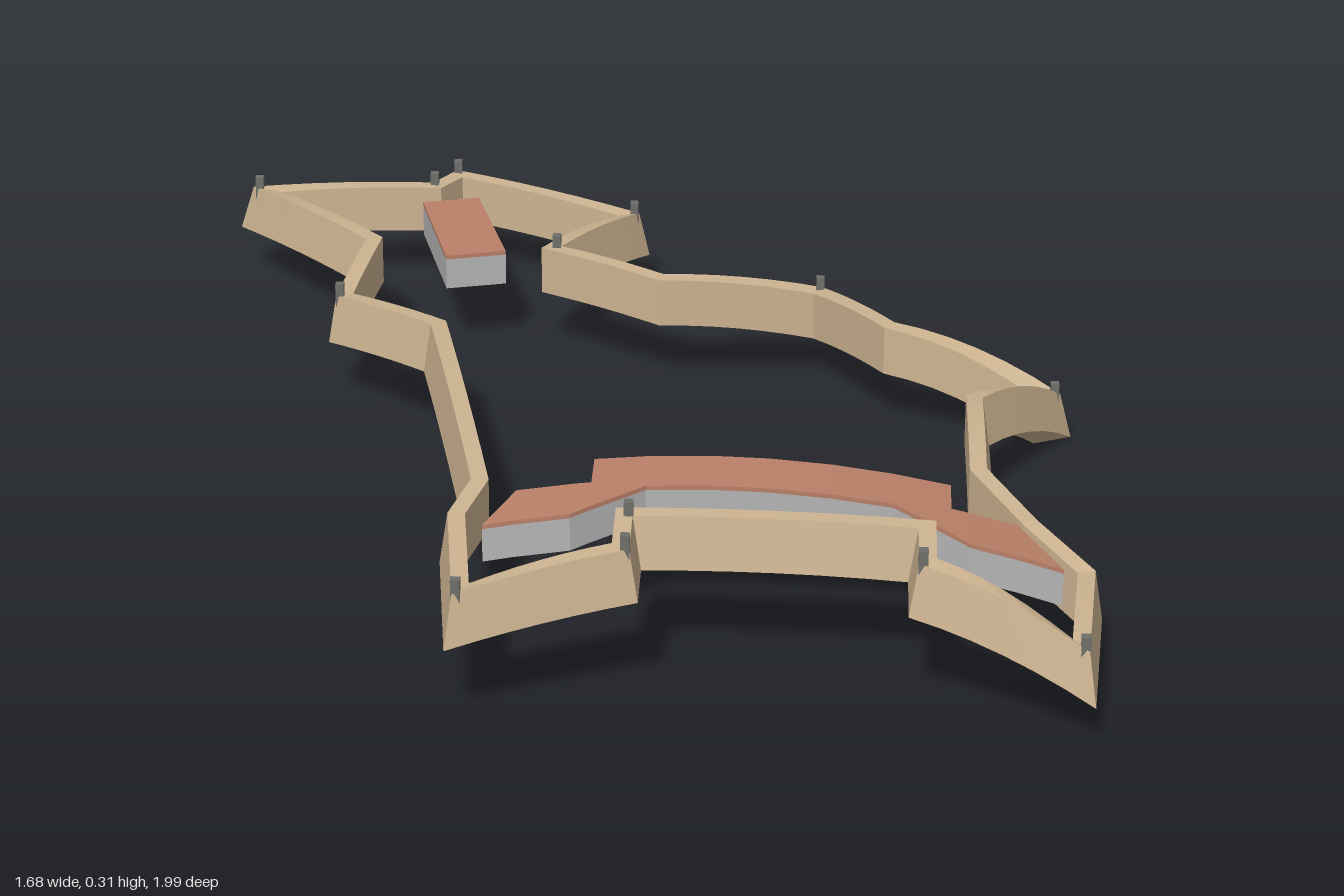
import * as THREE from 'three';

// Wall corners, clockwise from above: x, z, base height, bulge of the following run, sentry post (1 = yes)
const CORNERS = [
  [-0.84, -0.88, 0.10, 0.005, 1], [-0.455, -0.91, 0.105, 0, 1], [-0.41, -0.995, 0.10, 0.005, 1],
  [0.0, -0.825, 0.08, 0.008, 1], [-0.14, -0.545, 0.125, 0.003, 1], [0.05, -0.42, 0.13, 0.008, 0],
  [0.36, -0.475, 0.085, 0.005, 1], [0.5, -0.25, 0.115, 0.02, 0], [0.83, -0.19, 0, 0.02, 1],
  [0.665, 0.09, 0.115, 0.008, 0], [0.665, 0.39, 0.125, 0, 0], [0.745, 0.55, 0.11, 0, 0],
  [0.845, 0.67, 0.075, 0.003, 0], [0.82, 0.99, 0.08, 0.015, 1], [0.51, 0.885, 0.185, 0, 1],
  [0.51, 0.77, 0.19, 0.006, 0], [0.06, 0.76, 0.195, 0, 1], [0.06, 0.87, 0.192, 0.006, 1],
  [-0.255, 0.985, 0.155, 0, 1], [-0.29, 0.67, 0.155, 0, 0], [-0.26, 0.55, 0.16, 0.01, 0],
  [-0.39, -0.10, 0.15, 0.003, 0], [-0.59, -0.275, 0.125, 0.003, 1], [-0.56, -0.54, 0.13, 0.005, 0],
];
// Battered cross-section: inward offset, height
const SECTION = [[0, 0], [0.015, 0.095], [0.045, 0.095], [0.045, 0]];

const material = (name, color) => {
  const m = new THREE.MeshStandardMaterial({ color, side: THREE.DoubleSide });
  m.name = name;
  return m;
};

// Flat-shaded mesh from a list of quads
function quadMesh(name, quads, mat) {
  const pos = [];
  for (const [a, b, c, d] of quads) pos.push(...a, ...b, ...c, ...a, ...c, ...d);
  const geo = new THREE.BufferGeometry();
  geo.setAttribute('position', new THREE.Float32BufferAttribute(pos, 3));
  geo.computeVertexNormals();
  const mesh = new THREE.Mesh(geo, mat);
  mesh.name = name;
  return mesh;
}

// Mitred inward direction at corner i
function miter(i) {
  const n = CORNERS.length;
  const normal = (p, q) => {
    const dx = q[0] - p[0], dz = q[1] - p[1], l = Math.hypot(dx, dz);
    return [-dz / l, dx / l];
  };
  const a = normal(CORNERS[(i + n - 1) % n], CORNERS[i]);
  const b = normal(CORNERS[i], CORNERS[(i + 1) % n]);
  const k = 1 + a[0] * b[0] + a[1] * b[1];
  return [(a[0] + b[0]) / k, (a[1] + b[1]) / k];
}

// Rampart that rises and falls with the ground
function rampart(mat) {
  const quads = [], steps = 6, n = CORNERS.length;
  for (let i = 0; i < n; i++) {
    const p = CORNERS[i], q = CORNERS[(i + 1) % n], mp = miter(i), mq = miter((i + 1) % n);
    const ring = (t) => SECTION.map(([off, h]) => [
      THREE.MathUtils.lerp(p[0] + mp[0] * off, q[0] + mq[0] * off, t),
      THREE.MathUtils.lerp(p[2], q[2], t) + 4 * p[3] * t * (1 - t) + h,
      THREE.MathUtils.lerp(p[1] + mp[1] * off, q[1] + mq[1] * off, t),
    ]);
    for (let s = 0; s < steps; s++) {
      const r0 = ring(s / steps), r1 = ring((s + 1) / steps);
      for (let k = 0; k < 4; k++) {
        const l = (k + 1) % 4;
        quads.push([r0[k], r0[l], r1[l], r1[k]]);
      }
    }
  }
  return quadMesh('rampartWall', quads, mat);
}

// Open-bottomed building between a back rail and a front rail of [x, z] points
function building(name, back, front, top, height, wallMat, roofMat) {
  const g = new THREE.Group();
  g.name = name;
  const at = ([x, z], drop) => [x, top(x) - drop, z];
  const roof = [], eaves = [], walls = [];
  for (let i = 0; i < back.length - 1; i++) {
    roof.push([at(back[i], 0), at(front[i], 0), at(front[i + 1], 0), at(back[i + 1], 0)]);
  }
  const loop = [...front, ...back.slice().reverse()];
  loop.forEach((p, i) => {
    const q = loop[(i + 1) % loop.length];
    if (p[0] === q[0] && p[1] === q[1]) return;
    const band = (a, b) => [at(p, b), at(q, b), at(q, a), at(p, a)];
    eaves.push(band(0, 0.008));
    walls.push(band(0.008, height));
  });
  g.add(quadMesh('roof', [...roof, ...eaves], roofMat), quadMesh('buildingWalls', walls, wallMat));
  return g;
}

export function createModel() {
  const model = new THREE.Group();
  model.name = 'starFort';
  const stone = material('sandstone', 0xcdb491);
  const plaster = material('grey plaster', 0xb4b4b4);
  const tile = material('roof tile', 0xba8068);
  const iron = material('dark grey', 0x6e6e6a);

  model.add(rampart(stone));

  // Sentry posts on the salient corners
  const posts = new THREE.Group();
  posts.name = 'sentryPosts';
  CORNERS.forEach(([x, z, y, , on], i) => {
    if (!on) return;
    const m = miter(i);
    const post = new THREE.Mesh(new THREE.BoxGeometry(0.016, 0.045, 0.016), iron);
    post.name = 'sentryPost';
    post.position.set(x + m[0] * 0.022, y + 0.0975, z + m[1] * 0.022);
    posts.add(post);
  });
  model.add(posts);

  // Long barracks, arched along its length: x, back z, front z
  const sections = [
    [-0.215, 0.685, 0.685], [-0.165, 0.57, 0.685], [-0.065, 0.57, 0.685], [-0.035, 0.57, 0.663],
    [-0.035, 0.48, 0.663], [0.06, 0.48, 0.595], [0.17, 0.48, 0.595], [0.27, 0.48, 0.595],
    [0.38, 0.48, 0.595], [0.485, 0.48, 0.595], [0.585, 0.48, 0.664], [0.585, 0.57, 0.664],
    [0.615, 0.57, 0.685], [0.70, 0.57, 0.685], [0.775, 0.685, 0.685],
  ];
  model.add(building('longBarracks',
    sections.map(([x, b]) => [x, b]), sections.map(([x, , f]) => [x, f]),
    (x) => 0.275 - 0.27 * (x - 0.17) ** 2, 0.07, plaster, tile));

  // Small storehouse at the back
  model.add(building('storehouse',
    [[-0.455, -0.78], [-0.385, -0.515]], [[-0.345, -0.81], [-0.27, -0.545]].map((p) => p),
    () => 0.205, 0.07, plaster, tile));

  return model;
}
